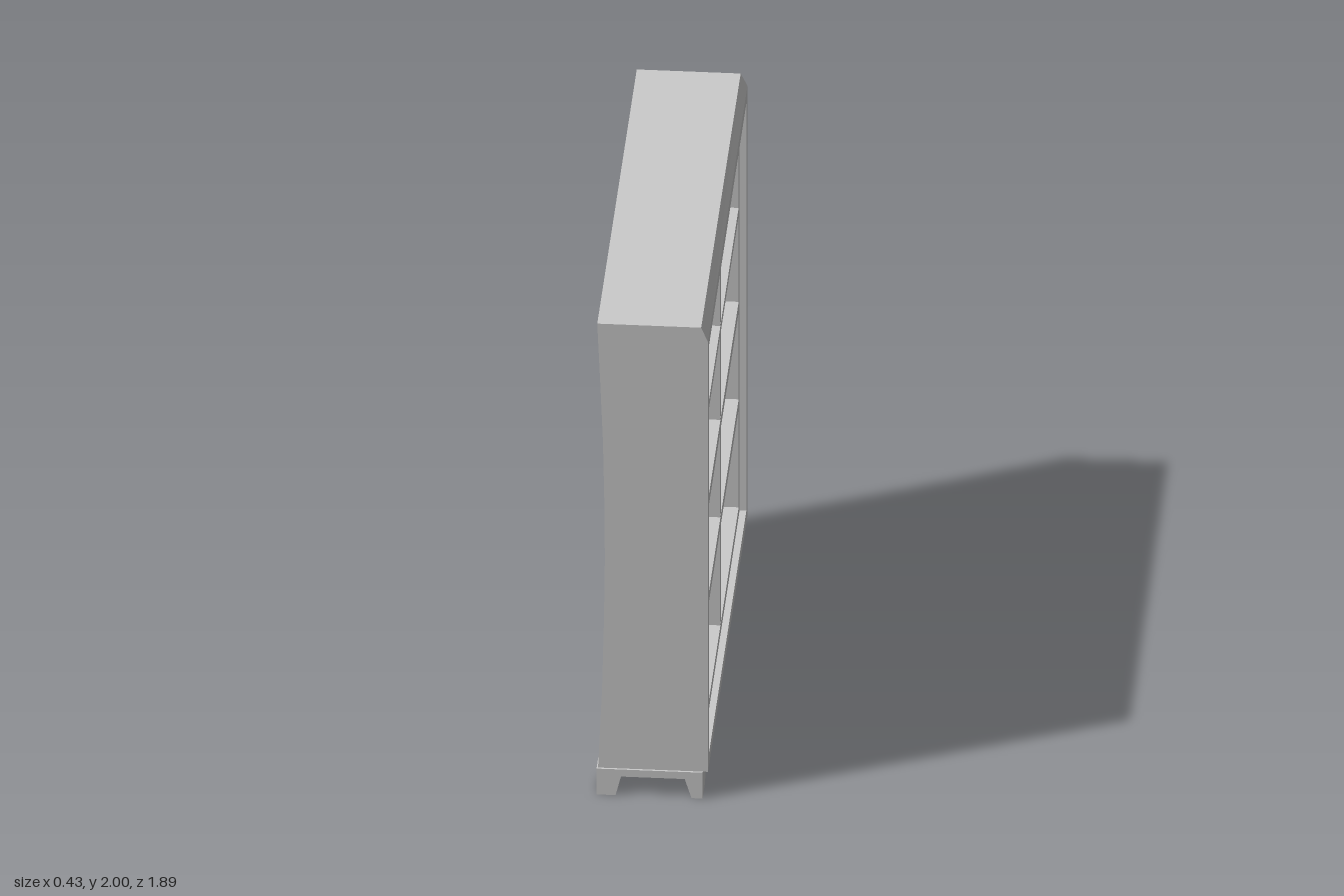
import * as THREE from 'three';

const material = new THREE.MeshStandardMaterial({ color: 0xcccccc, flatShading: true });

// Outline of the case seen from its end, as [x, y]: hollowed back, bevelled top front
const BACK = [
  [-0.205, 2], [-0.194, 1.75], [-0.184, 1.5], [-0.179, 1.25], [-0.177, 1.0],
  [-0.18, 0.75], [-0.187, 0.45], [-0.202, 0.11],
];
const FRONT = 0.203;  // front of the outer frame
const LEDGE = 0.178;  // recessed inner frame and shelf fronts
const INNER = -0.15;  // inside of the back panel

function add(group, name, geometry) {
  const mesh = new THREE.Mesh(geometry, material);
  mesh.name = name;
  group.add(mesh);
  return mesh;
}

// Extrude an [x, y] outline from z0 to z1
function slab(points, z0, z1) {
  const shape = new THREE.Shape(points.map(([x, y]) => new THREE.Vector2(x, y)));
  const g = new THREE.ExtrudeGeometry(shape, { depth: z1 - z0, bevelEnabled: false });
  return g.translate(0, 0, z0);
}

// Box given by its limits on each axis
function block(x0, x1, y0, y1, z0, z1) {
  return new THREE.BoxGeometry(x1 - x0, y1 - y0, z1 - z0)
    .translate((x0 + x1) / 2, (y0 + y1) / 2, (z0 + z1) / 2);
}

// The top falls slightly towards one end
function tiltTop(geometry) {
  const p = geometry.attributes.position;
  for (let i = 0; i < p.count; i++) {
    if (p.getY(i) > 1.97) p.setY(i, p.getY(i) - 0.005 * (0.935 - p.getZ(i)));
  }
  geometry.computeVertexNormals();
  return geometry;
}

// Apron with a foot at each end: a..b overall, feet end at f0/f1, arch starts at t0/t1
function apron(a, b, f0, t0, t1, f1) {
  return [[a, 0.11], [a, 0], [f0, 0], [t0, 0.08], [t1, 0.08], [f1, 0], [b, 0], [b, 0.11]];
}

export function createModel() {
  const model = new THREE.Group();
  model.name = 'bookcase';

  // Case: two end panels and a C-shaped middle forming back, top and bottom
  const body = new THREE.Group();
  body.name = 'case';
  model.add(body);
  const endOutline = [...BACK, [FRONT, 0.11], [FRONT, 1.94], [0.178, 2]];
  const middleOutline = [
    ...BACK, [FRONT, 0.11], [FRONT, 0.16], [LEDGE, 0.16], [LEDGE, 0.2], [INNER, 0.2],
    [INNER, 1.85], [LEDGE, 1.85], [LEDGE, 1.895], [FRONT, 1.895], [FRONT, 1.94], [0.178, 2],
  ];
  add(body, 'leftEndPanel', tiltTop(slab(endOutline, 0.885, 0.935)));
  add(body, 'rightEndPanel', tiltTop(slab(endOutline, -0.935, -0.885)));
  add(body, 'backTopAndBottom', tiltTop(slab(middleOutline, -0.885, 0.885)));

  // Recessed inner frame at the ends
  for (const side of [-1, 1]) {
    const z0 = Math.min(side * 0.838, side * 0.885);
    add(body, 'innerFrameSide', block(INNER, LEDGE, 0.2, 1.85, z0, z0 + 0.047));
  }

  // Shelves and the upright divider between them
  const shelves = [[0.617, 0.66], [1.03, 1.075], [1.44, 1.475]];
  let floor = 0.2;
  for (const [y0, y1] of [...shelves, [1.85, 1.85]]) {
    add(body, 'divider', block(INNER, LEDGE - 0.001, floor, y0, -0.016, 0.023));
    if (y1 > y0) add(body, 'shelf', block(INNER, LEDGE, y0, y1, -0.838, 0.838));
    floor = y1;
  }

  // Hollow plinth: four aprons with splayed bracket feet
  const base = new THREE.Group();
  base.name = 'plinth';
  model.add(base);
  const t = 0.03, x0 = -0.207, x1 = 0.184, w = 0.943;
  add(base, 'leftApron', slab(apron(x0, x1, -0.137, -0.117, 0.118, 0.143), w - t, w));
  add(base, 'rightApron', slab(apron(x0, x1, -0.115, -0.09, 0.075, 0.112), -w, t - w));
  for (const [name, x] of [['frontApron', x1], ['backApron', x0 + t]]) {
    const g = slab(apron(-w, w, -0.86, -0.77, 0.76, 0.83), 0, t);
    add(base, name, g.rotateY(-Math.PI / 2).translate(x, 0, 0));
  }
  add(base, 'plinthTop', block(x0, x1, 0.1, 0.11, -w, w));

  // The whole piece stands turned by a hair
  model.rotation.y = 0.0133;
  return model;
}
